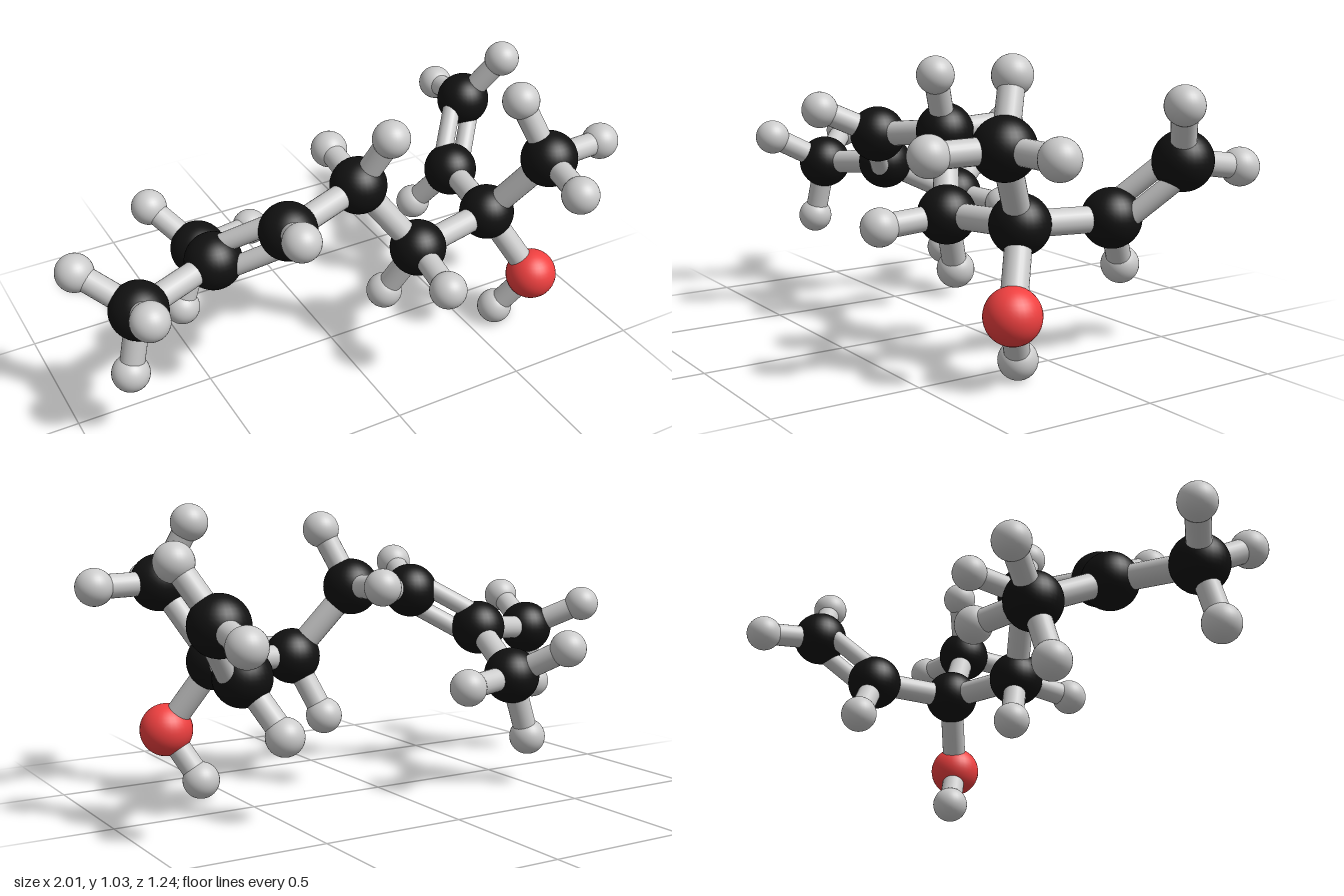
import * as THREE from 'three';

const KINDS = {
  carbon: { radius: 0.1, color: 0x111111 },
  oxygen: { radius: 0.093, color: 0xf04040 },
  hydrogen: { radius: 0.065, color: 0xcccccc },
};

// Heavy atoms of the chain and its branches
const HEAVY = {
  endMethyl: [-0.79, 0.52, 0.15],
  branch: [-0.48, 0.55, 0.05],
  sideMethyl: [-0.42, 0.41, -0.235],
  chainA: [-0.27, 0.69, 0.2],
  chainB: [0.045, 0.727, 0.112],
  chainC: [0.228, 0.475, 0.222],
  centre: [0.56, 0.49, 0.163],
  topMethyl: [0.695, 0.757, 0.32],
  vinylA: [0.615, 0.485, -0.163],
  vinylB: [0.768, 0.678, -0.325],
  hydroxyl: [0.695, 0.243, 0.286],
};

// Hydrogens listed under the atom that carries them
const HYDROGENS = {
  endMethyl: [[-0.94, 0.62, -0.01], [-0.825, 0.63, 0.36], [-0.845, 0.295, 0.17]],
  sideMethyl: [[-0.185, 0.395, -0.295], [-0.5, 0.177, -0.23], [-0.53, 0.52, -0.413]],
  chainA: [[-0.325, 0.785, 0.405]],
  chainB: [[0.12, 0.93, 0.197], [0.062, 0.743, -0.13]],
  chainC: [[0.2, 0.453, 0.463], [0.147, 0.262, 0.135]],
  topMethyl: [[0.615, 0.965, 0.235], [0.935, 0.753, 0.3], [0.65, 0.748, 0.555]],
  vinylA: [[0.525, 0.3, -0.28]],
  vinylB: [[0.87, 0.868, -0.23], [0.79, 0.642, -0.557]],
  hydroxyl: [[0.605, 0.068, 0.2]],
};

const SINGLE = [
  ['endMethyl', 'branch'], ['sideMethyl', 'branch'], ['chainA', 'chainB'],
  ['chainB', 'chainC'], ['chainC', 'centre'], ['centre', 'topMethyl'],
  ['centre', 'vinylA'], ['centre', 'hydroxyl'],
];

// Double bonds: two ends, then two neighbours of the first that set its plane
const DOUBLE = [
  ['branch', 'chainA', 'endMethyl', 'sideMethyl'],
  ['vinylA', 'vinylB', 'centre', 'vinylB'],
];

export function createModel() {
  const model = new THREE.Group();
  model.name = 'molecule';
  const bondMaterial = new THREE.MeshStandardMaterial({ color: 0xcccccc });
  const vec = (p) => new THREE.Vector3(...p);
  const at = (name) => vec(HEAVY[name]);

  const balls = {};
  for (const [kind, { radius, color }] of Object.entries(KINDS)) {
    balls[kind] = {
      geometry: new THREE.SphereGeometry(radius, 32, 20),
      material: new THREE.MeshStandardMaterial({ color }),
    };
  }

  function addAtom(kind, position, name) {
    const mesh = new THREE.Mesh(balls[kind].geometry, balls[kind].material);
    mesh.position.copy(position);
    mesh.name = name;
    model.add(mesh);
  }

  function addBond(a, b, radius, name) {
    const axis = b.clone().sub(a);
    const mesh = new THREE.Mesh(new THREE.CylinderGeometry(radius, radius, axis.length(), 24), bondMaterial);
    mesh.position.copy(a).lerp(b, 0.5);
    mesh.quaternion.setFromUnitVectors(new THREE.Vector3(0, 1, 0), axis.normalize());
    mesh.name = name;
    model.add(mesh);
  }

  // Carbon and oxygen balls
  for (const name of Object.keys(HEAVY)) {
    const kind = name === 'hydroxyl' ? 'oxygen' : 'carbon';
    addAtom(kind, at(name), `${name}Atom`);
  }

  // Hydrogen balls with their sticks
  for (const [parent, list] of Object.entries(HYDROGENS)) {
    list.forEach((p, i) => {
      addAtom('hydrogen', vec(p), `${parent}Hydrogen${i + 1}`);
      addBond(at(parent), vec(p), 0.042, `${parent}HydrogenBond${i + 1}`);
    });
  }

  // Single sticks
  for (const [a, b] of SINGLE) addBond(at(a), at(b), 0.044, `${a}Bond`);

  // Paired sticks, set apart across the local plane
  for (const [a, b, c, d] of DOUBLE) {
    const normal = at(c).sub(at(a)).cross(at(d).sub(at(a)));
    const axis = at(b).sub(at(a)).normalize();
    normal.addScaledVector(axis, -normal.dot(axis)).setLength(0.045);
    for (const side of [-1, 1]) {
      const shift = normal.clone().multiplyScalar(side);
      addBond(at(a).add(shift), at(b).add(shift), 0.034, `${a}DoubleBond`);
    }
  }
  return model;
}
